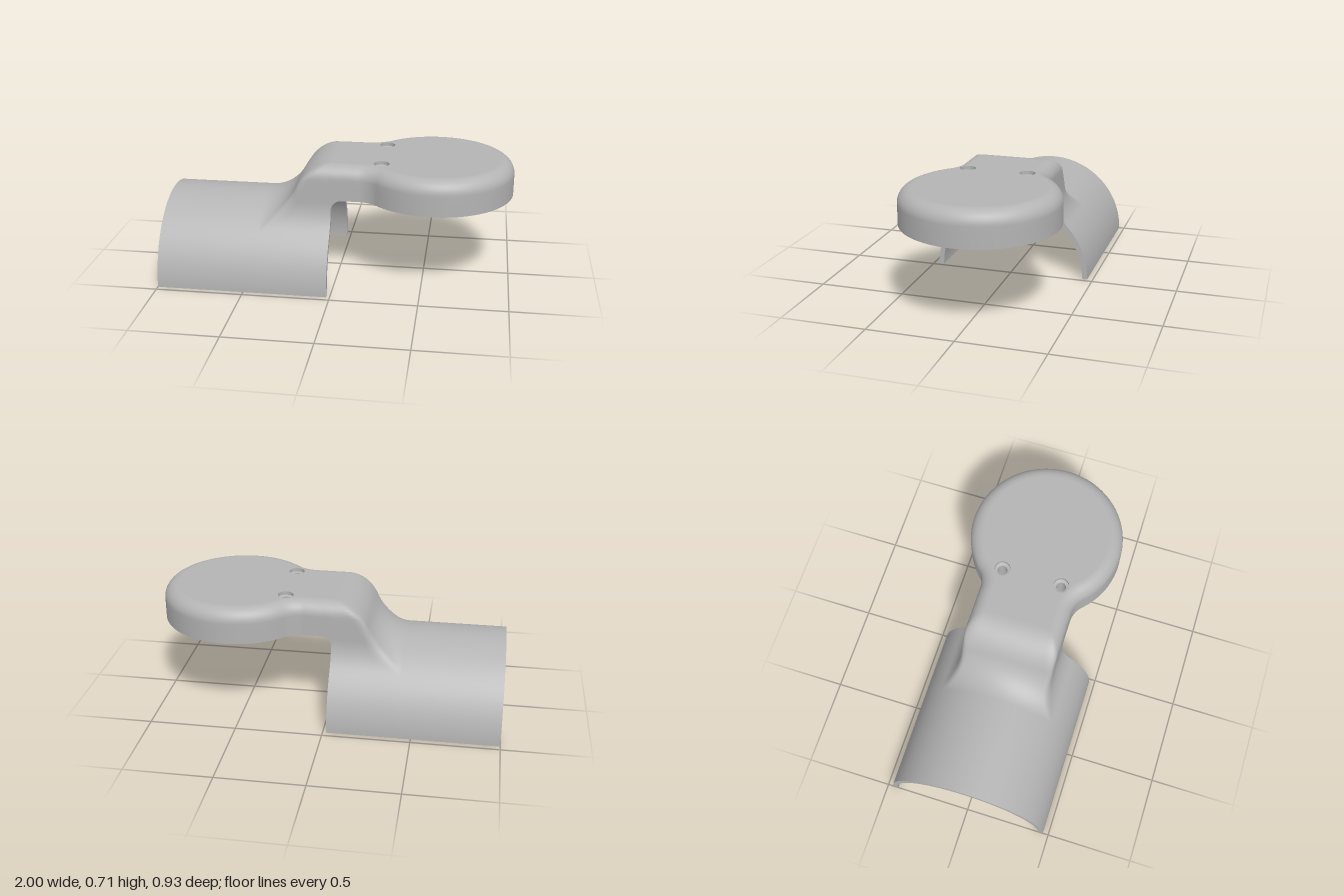
import * as THREE from 'three';

const t = 0.03;                                   // wall thickness
const OUT = { R: 0.467, w: 0.272, T: 0.71, rc: 0.08, f: 0.25, o: 0 };
const IN = { R: OUT.R - t, w: OUT.w - t, T: OUT.T - t, rc: OUT.rc - t, f: OUT.f + t, o: t };
const X0 = -0.43, X1 = -0.02;                     // start and end of the step up to the neck
const RISE = OUT.T - OUT.R;
const STEP = ((X1 - X0) ** 2 + RISE ** 2) / (4 * RISE); // radius of the two step arcs

const range = (n, a, b) => Array.from({ length: n + 1 }, (_, i) => a + (b - a) * i / n);

// Surface through rows of equally many points
function grid(rows) {
  const n = rows[0].length, idx = [];
  for (let i = 0; i < rows.length - 1; i++)
    for (let j = 0; j < n - 1; j++) {
      const a = i * n + j, b = a + n;
      idx.push(a, b, a + 1, b, b + 1, a + 1);
    }
  const g = new THREE.BufferGeometry();
  g.setAttribute('position', new THREE.Float32BufferAttribute(rows.flat(2), 3));
  g.setIndex(idx);
  g.computeVertexNormals();
  return g;
}

// Half section where neck and tube are fully joined, as polar [angle, radius]
function neckSection({ R, w, T, rc, f }) {
  const yc = Math.sqrt((R + f) ** 2 - (w + f) ** 2);
  const end = Math.atan2(yc, w + f);
  const pts = [
    ...range(8, 0, w - rc).map(z => [z, T]),
    ...range(8, Math.PI / 2, 0).slice(1).map(a => [w - rc + rc * Math.cos(a), T - rc + rc * Math.sin(a)]),
    ...range(6, T - rc, yc).slice(1).map(y => [w, y]),
    ...range(12, 0, end).slice(1).map(a => [w + f - f * Math.cos(a), yc - f * Math.sin(a)]),
    ...range(20, end, 0).slice(1).map(a => [R * Math.cos(a), R * Math.sin(a)]),
  ];
  return pts.map(([z, y]) => [Math.atan2(z, y), Math.hypot(z, y)]);
}

// How far the step has risen at x, 0 to 1
function stepAt(x, { R, T, o }) {
  if (x <= X0) return 0;
  const split = X0 + (X1 - X0) * (STEP + o) / (2 * STEP);
  const y = x < split
    ? OUT.R + STEP - Math.sqrt((STEP + o) ** 2 - (x - X0) ** 2)
    : OUT.T - STEP + Math.sqrt((STEP - o) ** 2 - (x - X1) ** 2);
  return (y - R) / (T - R);
}

// Full section of the half tube at x
function section(x, p) {
  const s = stepAt(x, p), k = 0.36 * s * (1 - s) + 1e-6;
  const half = neckSection(p).map(([a, r]) => {
    const cap = p.R + (p.T / Math.max(Math.cos(a), 0.3) - p.R) * s;
    const h = Math.max(k - Math.abs(r - cap), 0) / k;
    const q = Math.max(p.R, Math.min(r, cap) - h * h * k / 4);
    return [x, q * Math.cos(a), q * Math.sin(a)];
  });
  return [...half.slice(1).reverse().map(([px, y, z]) => [px, y, -z]), ...half];
}

// Plan outline of neck and round cover, inset by d: [x, z]
function outline(d) {
  const cx = 0.555, r = 0.445, g = 0.15;
  const fz = OUT.w + g, dx = Math.sqrt((r + g) ** 2 - fz ** 2), fx = cx - dx;
  const a = Math.atan2(fz, dx);
  const half = [
    ...range(10, X1, 0.04).map(x => [x, OUT.w - d]),
    ...range(12, Math.PI / 2, a).map(b => [fx + (g + d) * Math.cos(b), fz - (g + d) * Math.sin(b)]),
    ...range(48, Math.PI - a, 0).slice(1).map(b => [cx + (r - d) * Math.cos(b), (r - d) * Math.sin(b)]),
  ];
  return [...half, ...half.slice(0, -1).reverse().map(([x, z]) => [x, -z])];
}

// Lower edge of the cover wall, curving down into the tube end
const edgeY = x => x >= 0.04 ? 0.51 : 0.45 + Math.sqrt(Math.max(0, 0.06 ** 2 - (x - 0.04) ** 2));

// Wall of the cover with its rounded shoulder
function coverWall({ rc, o }) {
  const ys = OUT.T - OUT.rc;
  const low = outline(o);
  const rows = range(3, 0, 1).map(k => low.map(([x, z]) => [x, edgeY(x) + (ys - edgeY(x)) * k, z]));
  for (const a of range(10, 0, Math.PI / 2).slice(1))
    rows.push(outline(OUT.rc - rc * Math.cos(a)).map(([x, z]) => [x, ys + rc * Math.sin(a), z]));
  return grid(rows);
}

const HOLE_X = 0.255, HOLE_Z = 0.175;

// Flat plate of the cover with two screw holes
function plate(y, holeR, turn) {
  const shape = new THREE.Shape(outline(OUT.rc).map(p => new THREE.Vector2(...p)));
  for (const s of [-1, 1])
    shape.holes.push(new THREE.Path().absarc(HOLE_X, s * HOLE_Z, holeR, 0, Math.PI * 2, true));
  return new THREE.ShapeGeometry(shape, 24).rotateX(turn * Math.PI / 2).translate(0, y, 0);
}

export function createModel() {
  const model = new THREE.Group();
  const grey = new THREE.MeshStandardMaterial({ color: 0xb4b4b4, side: THREE.DoubleSide });
  grey.name = 'grey';
  const add = (name, geometry) => {
    const m = new THREE.Mesh(geometry, grey);
    m.name = name;
    model.add(m);
    return m;
  };

  // Half tube rising into the neck
  const xs = [...range(6, -1, X0), ...range(40, X0, X1).slice(1)];
  const outer = xs.map(x => section(x, OUT)), inner = xs.map(x => section(x, IN));
  add('tubeOuter', grid(outer));
  add('tubeInner', grid(inner.map(r => [...r].reverse())));
  const last = xs.length - 1, end = outer[0].length - 1;
  add('tubeBackEnd', grid([inner[0], outer[0]]));
  add('tubeFrontEnd', grid([outer[last], inner[last]]));
  add('tubeEdgeRight', grid([outer.map(r => r[0]), inner.map(r => r[0])]));
  add('tubeEdgeLeft', grid([inner.map(r => r[end]), outer.map(r => r[end])]));

  // Round cover with neck
  add('coverOuterWall', coverWall(OUT));
  add('coverInnerWall', coverWall(IN));
  add('coverRim', grid([0, t].map(d => outline(d).map(([x, z]) => [x, edgeY(x), z]))));
  add('coverTop', plate(OUT.T, 0.045, -1));
  add('coverCeiling', plate(IN.T, 0.045, 1));

  // Screw posts with a recessed bore
  const bore = [[0.045, 0.71], [0.045, 0.69], [0.028, 0.685], [0.028, 0.54], [0.048, 0.54], [0.048, 0.68]];
  for (const s of [-1, 1])
    for (let i = 0; i < bore.length - 1; i++) {
      const pts = [bore[i], bore[i + 1]].map(p => new THREE.Vector2(...p));
      add(s > 0 ? 'screwPostFront' : 'screwPostBack', new THREE.LatheGeometry(pts, 28))
        .position.set(HOLE_X, 0, s * HOLE_Z);
    }
  return model;
}
